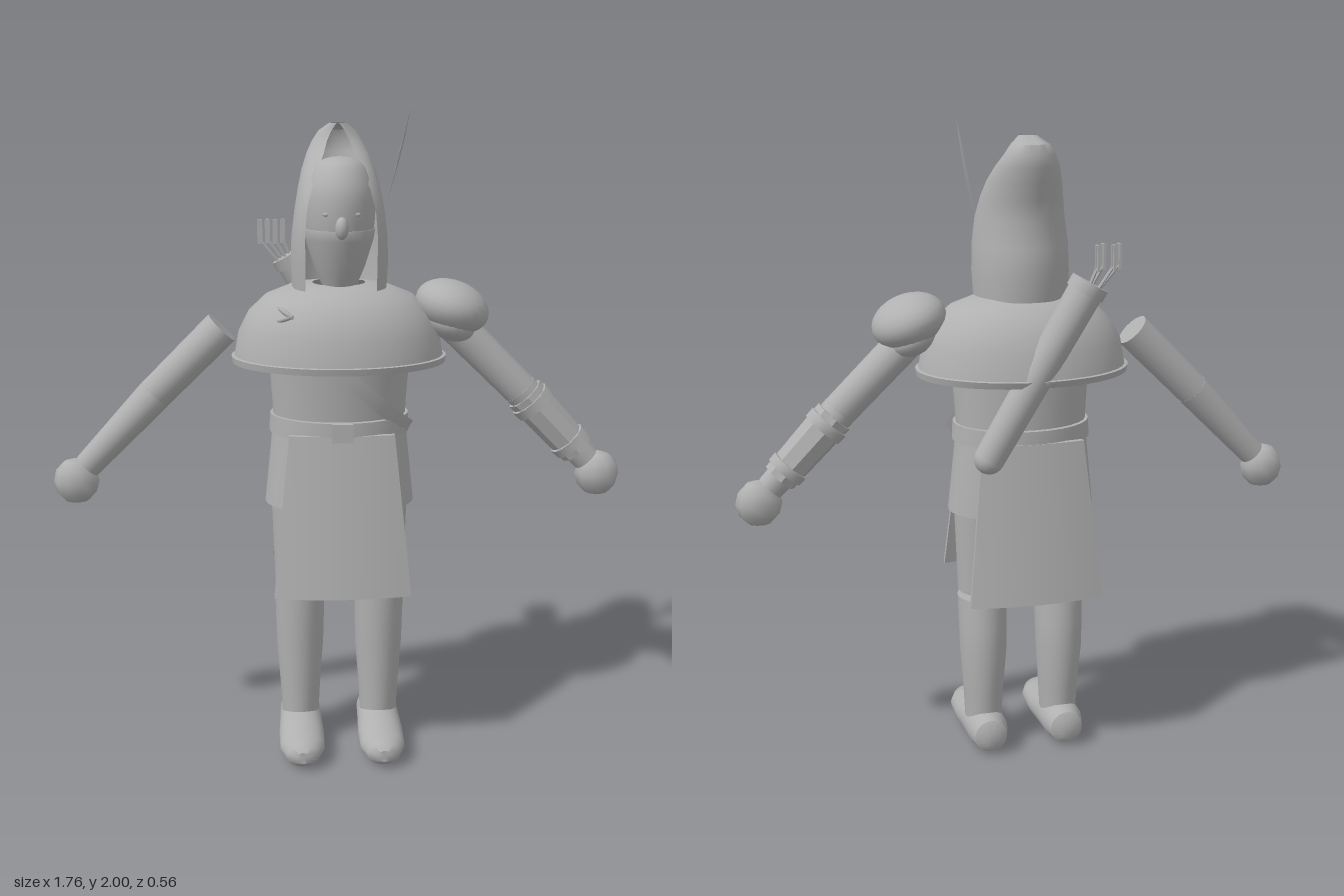
import * as THREE from 'three';
import { toCreasedNormals } from 'three/addons/utils/BufferGeometryUtils.js';

const grey = new THREE.MeshStandardMaterial({ color: 0xb0b0b0, side: THREE.DoubleSide });
grey.name = 'grey';

const V = (x, y, z) => new THREE.Vector3(x, y, z);

export function createModel() {
  const model = new THREE.Group();

  function add(name, geo, parent = model) {
    const m = new THREE.Mesh(geo, grey);
    m.name = name;
    parent.add(m);
    return m;
  }

  // Surface through rows of points
  function skin(rows) {
    const n = rows[0].length, pos = [], idx = [];
    rows.forEach(r => r.forEach(p => pos.push(p.x, p.y, p.z)));
    for (let i = 0; i < rows.length - 1; i++) {
      for (let j = 0; j < n - 1; j++) {
        const a = i * n + j, b = a + n;
        idx.push(a, b, a + 1, a + 1, b, b + 1);
      }
    }
    const g = new THREE.BufferGeometry();
    g.setAttribute('position', new THREE.Float32BufferAttribute(pos, 3));
    g.setIndex(idx);
    return toCreasedNormals(g, 0.75);
  }

  // Elliptical rings [y, half width, front z, back z], optionally closed at the ends
  function loft(rings, capped = true, seg = 28) {
    const list = rings.slice();
    if (capped) {
      const flat = ([y, , f, b]) => [y, 0.0001, (f + b) / 2 + 0.0001, (f + b) / 2 - 0.0001];
      list.unshift(flat(rings[0]));
      list.push(flat(rings[rings.length - 1]));
    }
    return skin(list.map(([y, w, f, b]) => Array.from({ length: seg + 1 }, (_, j) => {
      const a = -j / seg * Math.PI * 2;
      return V(w * Math.sin(a), y, (f + b) / 2 + (f - b) / 2 * Math.cos(a));
    })));
  }

  // Tapered rod between two points
  function rod(name, a, b, ra, rb, seg = 16, parent = model) {
    const m = add(name, toCreasedNormals(new THREE.CylinderGeometry(rb, ra, a.distanceTo(b), seg), 0.7), parent);
    m.position.copy(a).add(b).multiplyScalar(0.5);
    m.quaternion.setFromUnitVectors(V(0, 1, 0), b.clone().sub(a).normalize());
    return m;
  }

  function ball(name, p, s, seg = 24) {
    const m = add(name, new THREE.SphereGeometry(1, seg, Math.ceil(seg * 0.6)));
    m.position.copy(p);
    m.scale.copy(s);
    return m;
  }

  // Legs, boots, arms and hands
  for (const s of [-1, 1]) {
    const leg = new THREE.Group();
    leg.name = s > 0 ? 'leftLeg' : 'rightLeg';
    leg.position.x = s * 0.125;
    model.add(leg);
    add('thigh', loft([[0.53, 0.076, 0.105, -0.06], [0.87, 0.088, 0.125, -0.085]]), leg);
    add('bootShaft', loft([[0.08, 0.058, 0.09, -0.055], [0.18, 0.063, 0.092, -0.06],
      [0.33, 0.074, 0.1, -0.078], [0.42, 0.076, 0.103, -0.07], [0.51, 0.078, 0.105, -0.06]]), leg);
    // Shoe rings run heel to toe: [z, half width, -bottom, -top]
    const shoe = add('shoe', loft([[-0.11, 0.025, -0.035, -0.09], [-0.095, 0.052, -0.012, -0.118],
      [-0.05, 0.064, -0.003, -0.13], [0.04, 0.067, 0, -0.125], [0.12, 0.071, 0, -0.105],
      [0.21, 0.069, -0.003, -0.093], [0.26, 0.05, -0.01, -0.083], [0.28, 0.02, -0.028, -0.065]]), leg);
    shoe.rotation.x = Math.PI / 2;

    const elbow = V(s * 0.57, 1.13, 0.01), wrist = V(s * 0.775, 0.915, 0.012);
    rod('upperArm', V(s * 0.355, 1.342, 0.008), elbow, 0.056, 0.053);
    rod('forearm', V(s * 0.56, 1.14, 0.01), wrist, 0.054, 0.042);
    ball('hand', V(s * 0.81, 0.87, 0.015), V(0.07, 0.072, 0.06), 10);
  }

  // Bracer on the left forearm
  rod('bracer', V(0.575, 1.125, 0.01), V(0.745, 0.945, 0.012), 0.062, 0.054, 8);
  rod('bracerUpperBand', V(0.59, 1.109, 0.01), V(0.612, 1.086, 0.01), 0.067, 0.066, 12);
  rod('bracerLowerBand', V(0.71, 0.982, 0.012), V(0.73, 0.961, 0.012), 0.062, 0.061, 12);

  // Left shoulder guard
  ball('shoulderGuard', V(0.343, 1.402, 0.017), V(0.115, 0.078, 0.127)).rotation.z = -0.35;
  ball('shoulderGuardLower', V(0.335, 1.355, 0.015), V(0.085, 0.055, 0.1)).rotation.z = -0.45;

  // Body and clothes
  add('torso', loft([[1.0, 0.2, 0.165, -0.135], [1.12, 0.205, 0.175, -0.138], [1.3, 0.218, 0.2, -0.145]]));
  add('tunicSkirt', loft([[0.8, 0.23, 0.19, -0.15], [1.04, 0.205, 0.165, -0.135]]));
  add('belt', loft([[1.025, 0.215, 0.19, -0.155], [1.08, 0.212, 0.19, -0.155]]));
  add('buckle', new THREE.BoxGeometry(0.062, 0.056, 0.025)).position.set(0, 1.053, 0.193);
  add('shoulderCape', loft([[1.235, 0.325, 0.245, -0.25], [1.255, 0.328, 0.25, -0.258], [1.257, 0.318, 0.243, -0.25],
    [1.33, 0.305, 0.232, -0.235], [1.39, 0.275, 0.208, -0.21], [1.44, 0.222, 0.17, -0.17],
    [1.47, 0.145, 0.115, -0.12], [1.475, 0.08, 0.08, -0.09]], false, 40));

  // Hanging panels, flared towards the hem
  for (const s of [1, -1]) {
    const g = new THREE.BoxGeometry(1, 1, 0.018, 12, 6, 1);
    const p = g.attributes.position;
    for (let i = 0; i < p.count; i++) {
      const u = p.getX(i), d = 0.5 - p.getY(i);
      const x = u * (0.315 + 0.1 * d);
      const out = s > 0 ? 0.178 + 0.066 * d : 0.147 + 0.063 * d;
      p.setXYZ(i, x, 1.04 - 0.49 * d, s * (out - 0.55 * x * x) + p.getZ(i));
    }
    add(s > 0 ? 'frontPanel' : 'backPanel', toCreasedNormals(g, 0.6));
  }

  // Quiver strap across the chest
  const strapRows = [0.02, -0.02].map(o => Array.from({ length: 13 }, (_, i) => {
    const t = i / 12, x = -0.05 + 0.26 * t, y = 1.28 - 0.24 * t;
    const bulge = Math.sqrt(Math.max(0, 1 - (x / 0.222) ** 2));
    return V(x + o * 0.6, y + o, 0.022 + (0.19 - 0.03 * t) * bulge);
  }));
  add('strap', skin(strapRows));

  // Head and face
  const profile = [[0.0, 1.465], [0.048, 1.47], [0.072, 1.53], [0.097, 1.61], [0.107, 1.69],
    [0.102, 1.76], [0.075, 1.82], [0.04, 1.844], [0, 1.85]].map(([x, y]) => new THREE.Vector2(x, y));
  const head = add('head', new THREE.LatheGeometry(new THREE.SplineCurve(profile).getPoints(32), 28));
  head.scale.z = 1.2;
  head.position.z = 0.028;
  const mask = add('lowerFace', new THREE.LatheGeometry([[0.052, 1.47], [0.077, 1.53], [0.102, 1.61], [0.107, 1.64],
    [0.1, 1.642]].map(([x, y]) => new THREE.Vector2(x, y)), 28));
  mask.scale.z = 1.2;
  mask.position.z = 0.028;
  ball('nose', V(0, 1.652, 0.16), V(0.02, 0.033, 0.024), 14);
  for (const s of [-1, 1]) ball('eye', V(s * 0.045, 1.69, 0.142), V(0.011, 0.006, 0.006), 10);

  // Pointed hood, open at the front: [y, half width, rim x, rim z, back z]
  const hood = [[1.465, 0.142, 0.105, 0.125, -0.135], [1.54, 0.146, 0.105, 0.138, -0.143],
    [1.62, 0.143, 0.106, 0.14, -0.143], [1.7, 0.133, 0.1, 0.13, -0.125], [1.76, 0.122, 0.085, 0.105, -0.138],
    [1.81, 0.11, 0.065, 0.07, -0.152], [1.855, 0.094, 0.046, 0.015, -0.163], [1.89, 0.076, 0.034, -0.035, -0.167],
    [1.92, 0.056, 0.02, -0.045, -0.155], [1.943, 0.025, 0.004, -0.045, -0.09]];
  add('hood', skin(hood.map(([y, w, rx, rz, zb]) => {
    const k = Math.sqrt(1 - (rx / w) ** 2), d = (rz - zb) / (1 + k);
    const max = Math.PI - Math.asin(rx / w);
    return Array.from({ length: 33 }, (_, j) => {
      const a = max * (j / 16 - 1);
      return V(w * Math.sin(a), y, zb + d - d * Math.cos(a));
    });
  })));

  // Feather on the left of the hood
  const root = V(0.148, 1.725, -0.005), tip = V(0.235, 2.0, -0.192);
  const side = V(0.05, 0.55, 0.83).normalize();
  add('feather', skin([-1, 0, 1].map(e => Array.from({ length: 11 }, (_, i) => {
    const t = i / 10, w = 0.003 + 0.025 * Math.sin(Math.PI * Math.pow(t, 0.85)) * (t < 1 ? 1 : 0);
    const q = root.clone().lerp(tip, t).addScaledVector(side, e * w);
    q.x += (e === 0 ? 0.006 : 0) * Math.sin(Math.PI * t);
    return q;
  }))));

  // Quiver slung across the back, with arrows
  const low = V(0.15, 1.02, -0.2), high = V(-0.145, 1.53, -0.222);
  rod('quiver', low, high, 0.046, 0.053, 20);
  ball('quiverEnd', low, V(0.046, 0.046, 0.046), 18);
  const along = high.clone().sub(low).normalize();
  rod('quiverRim', high.clone().addScaledVector(along, -0.03), high.clone().addScaledVector(along, 0.004), 0.058, 0.058, 20);
  for (let i = 0; i < 4; i++) {
    const x = -0.236 + i * 0.024, z = -0.21 - (i % 2) * 0.025;
    rod('arrowShaft', V(-0.16 + i * 0.012, 1.49, z), V(x, 1.58, z), 0.005, 0.005, 6);
    add('fletching', new THREE.BoxGeometry(0.016, 0.075, 0.006)).position.set(x, 1.605, z);
    add('fletching', new THREE.BoxGeometry(0.006, 0.075, 0.022)).position.set(x, 1.605, z);
  }

  // Small leaf-shaped clasp on the right of the cape
  for (const t of [-0.35, 0.5]) {
    const leaf = ball('capeClasp', V(-0.165, 1.4 + t * 0.02, 0.172), V(0.032, 0.008, 0.008), 10);
    leaf.rotation.set(0, -0.6, -t);
  }

  return model;
}
